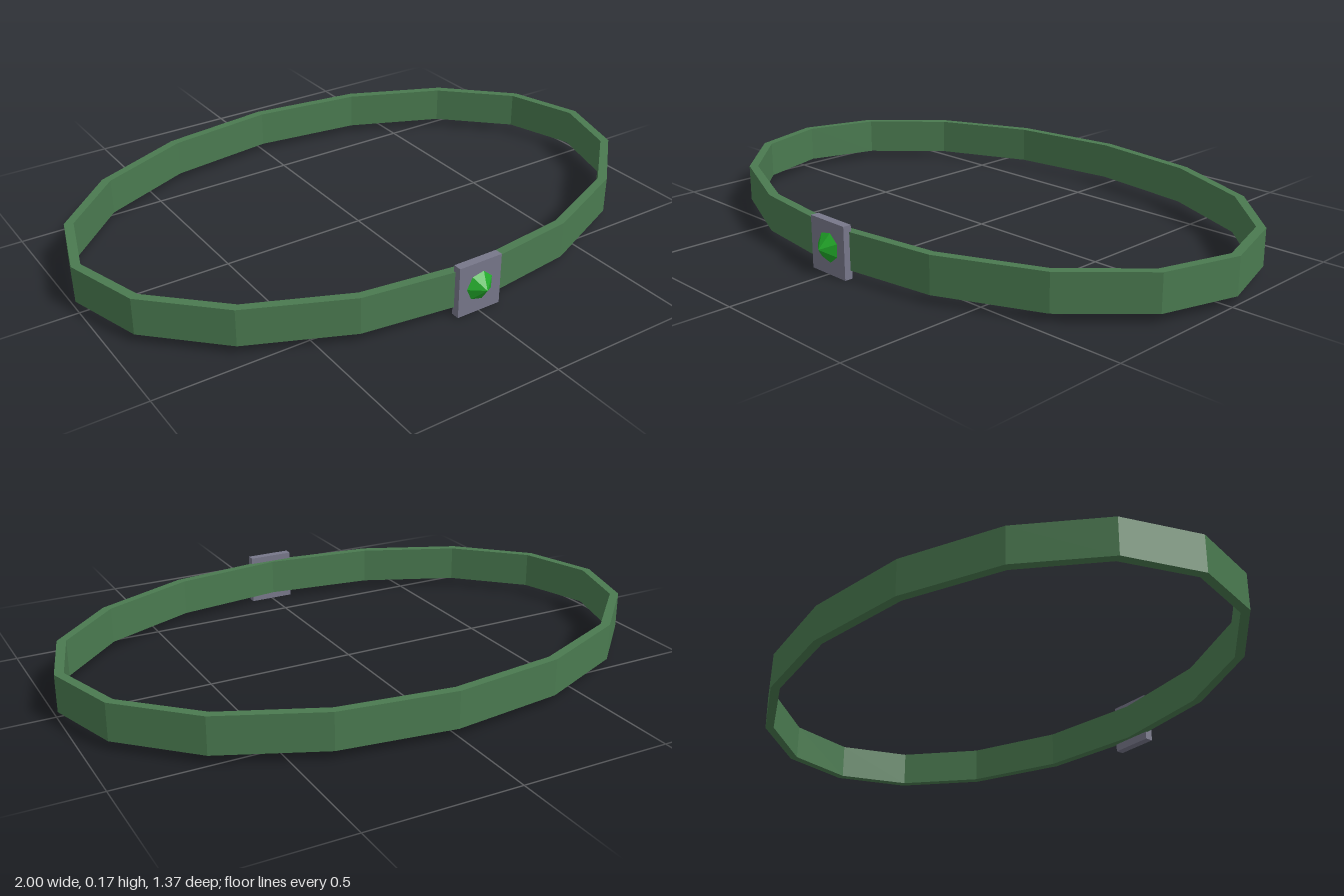
import * as THREE from 'three';

const SIDES = 16;

function ellipsePoints(rx, ry) {
  return Array.from({ length: SIDES }, (_, i) => {
    const a = (i / SIDES) * Math.PI * 2;
    return new THREE.Vector2(rx * Math.cos(a), ry * Math.sin(a));
  });
}

function addPart(group, name, geometry, color) {
  const material = new THREE.MeshStandardMaterial({ color, flatShading: true });
  const mesh = new THREE.Mesh(geometry, material);
  mesh.name = name;
  group.add(mesh);
  return mesh;
}

export function createModel() {
  const group = new THREE.Group();
  group.name = 'circlet';

  // Faceted oval band
  const outline = new THREE.Shape(ellipsePoints(1, 0.66));
  outline.holes.push(new THREE.Path(ellipsePoints(0.97, 0.63)));
  const bandGeometry = new THREE.ExtrudeGeometry(outline, { depth: 0.122, bevelEnabled: false });
  bandGeometry.rotateX(-Math.PI / 2);
  addPart(group, 'band', bandGeometry, 0x4a7a50).position.set(0, 0.027, -0.023);

  // Square setting on the brow
  const plate = addPart(group, 'gemPlate', new THREE.BoxGeometry(0.156, 0.17, 0.028), 0x77778a);
  plate.position.set(0, 0.085, 0.634);

  // Pointed cut gem
  const gemGeometry = new THREE.ConeGeometry(0.05, 0.037, 7);
  gemGeometry.rotateX(Math.PI / 2);
  const gem = addPart(group, 'gem', gemGeometry, 0x22aa2a);
  gem.position.set(0, 0.087, 0.6655);
  gem.rotation.z = 0.2;

  return group;
}
